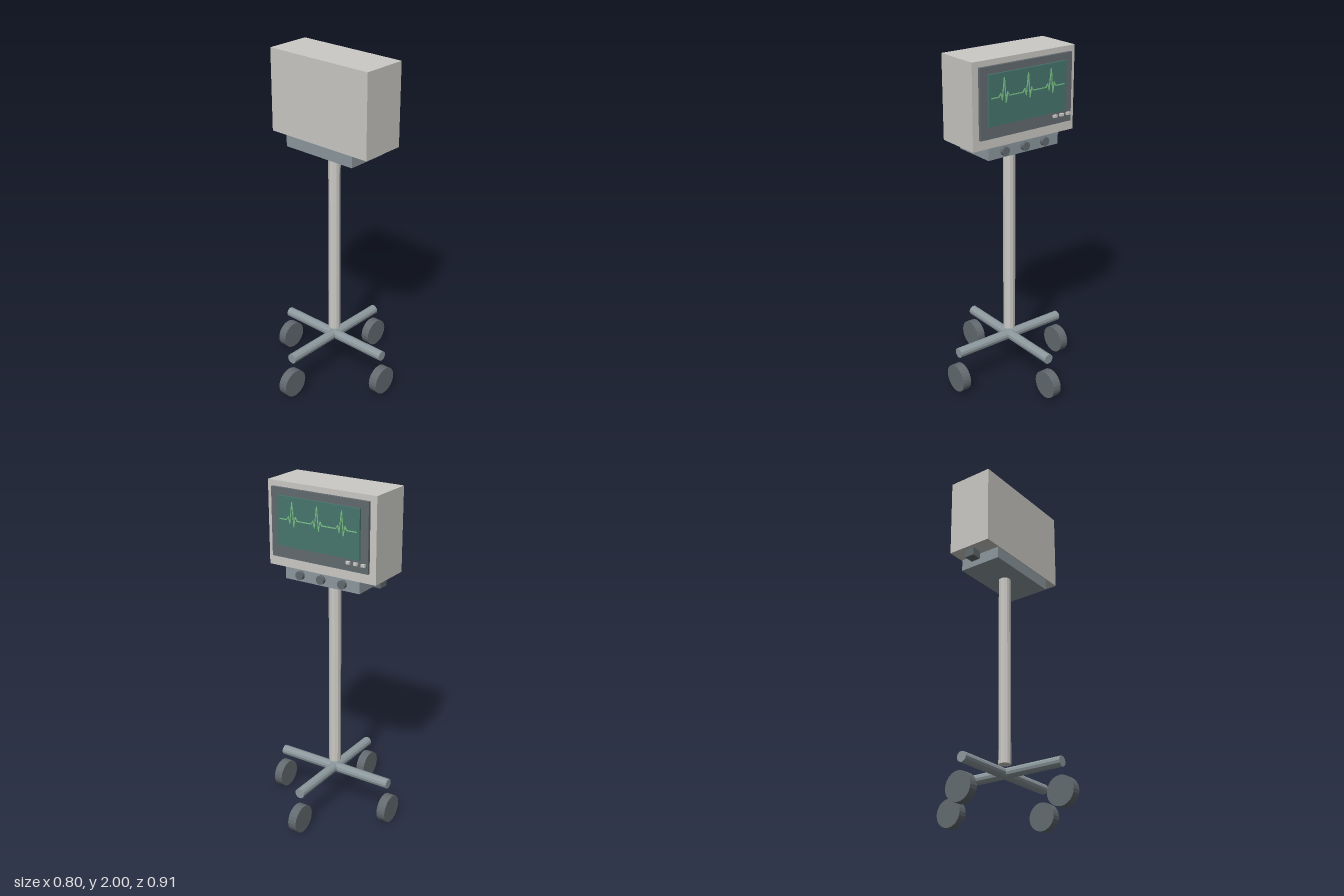
import * as THREE from 'three';

const paint = (name, color, flatShading = true) => {
  const m = new THREE.MeshStandardMaterial({ color, flatShading });
  m.name = name;
  return m;
};

export function createModel() {
  const root = new THREE.Group();
  root.name = 'patientMonitorOnStand';

  const casing = paint('casingGrey', 0xcbcac5);
  const slate = paint('slateGrey', 0x8d999e);
  const dark = paint('darkGrey', 0x636b70);
  const glass = paint('screenTeal', 0x47776f);
  const green = paint('traceGreen', 0x7cc487);

  const add = (name, geo, mat, x, y, z) => {
    const mesh = new THREE.Mesh(geo, mat);
    mesh.name = name;
    mesh.position.set(x, y, z);
    root.add(mesh);
    return mesh;
  };
  // Box given by its limits on each axis
  const box = (name, mat, [x0, x1], [y0, y1], [z0, z1]) =>
    add(name, new THREE.BoxGeometry(x1 - x0, y1 - y0, z1 - z0), mat,
      (x0 + x1) / 2, (y0 + y1) / 2, (z0 + z1) / 2);
  // Cylinder lying along x, y or z
  const rod = (name, mat, r, length, sides, axis, x, y, z) => {
    const geo = new THREE.CylinderGeometry(r, r, length, sides);
    if (axis === 'x') geo.rotateZ(Math.PI / 2);
    if (axis === 'z') geo.rotateX(Math.PI / 2);
    return add(name, geo, mat, x, y, z);
  };

  // Monitor body and control box beneath it
  box('cabinet', casing, [-0.346, 0.346], [1.52, 2], [-0.137, 0.137]);
  box('controlBox', slate, [-0.242, 0.242], [1.45, 1.52], [-0.132, 0.132]);
  box('sideConnector', dark, [-0.322, -0.262], [1.472, 1.52], [-0.045, 0.015]);

  // Screen side, facing -z
  box('bezel', dark, [-0.31, 0.31], [1.58, 1.97], [-0.159, -0.142]);
  box('screen', glass, [-0.263, 0.263], [1.65, 1.93], [-0.17, -0.159]);

  // Heartbeat trace: a mitred ribbon along a zigzag line
  const line = [[0.245, 0]];
  for (const c of [0.16, 0, -0.157]) {
    line.push([c + 0.04, 0], [c + 0.028, 0.018], [c + 0.018, -0.018], [c + 0.004, 0.1],
      [c - 0.008, -0.034], [c - 0.018, 0.02], [c - 0.028, 0]);
  }
  line.push([-0.245, 0]);
  const trace = new THREE.Group();
  trace.name = 'heartbeatTrace';
  for (let i = 0; i < line.length - 1; i++) {
    const [ax, ay] = line[i], [bx, by] = line[i + 1];
    const len = Math.hypot(bx - ax, by - ay);
    const seg = new THREE.Mesh(new THREE.BoxGeometry(len + 0.003, 0.005, 0.004), green);
    seg.name = 'traceSegment';
    seg.position.set((ax + bx) / 2, 1.803 + (ay + by) / 2, -0.172);
    seg.rotation.z = Math.atan2(by - ay, bx - ax);
    trace.add(seg);
  }
  root.add(trace);

  // Small push buttons on the bezel
  for (const x of [-0.285, -0.238, -0.191])
    box('pushButton', casing, [x - 0.012, x + 0.012], [1.62, 1.635], [-0.174, -0.159]);

  // Knobs on the control box
  for (const x of [-0.138, 0, 0.138]) rod('knob', dark, 0.025, 0.022, 12, 'z', x, 1.488, -0.143);

  // Stand
  rod('pole', casing, 0.036, 1.15, 12, 'y', 0, 0.875, 0);
  rod('crossBar', slate, 0.03, 0.75, 12, 'x', 0, 0.247, 0);
  rod('longBar', slate, 0.03, 0.75, 12, 'z', 0, 0.247, 0);
  for (const [x, z] of [[1, 0], [-1, 0], [0, 1], [0, -1]])
    rod('wheel', dark, 0.083, 0.053, 24, 'x', x * 0.374, 0.083, z * 0.374);

  return root;
}
